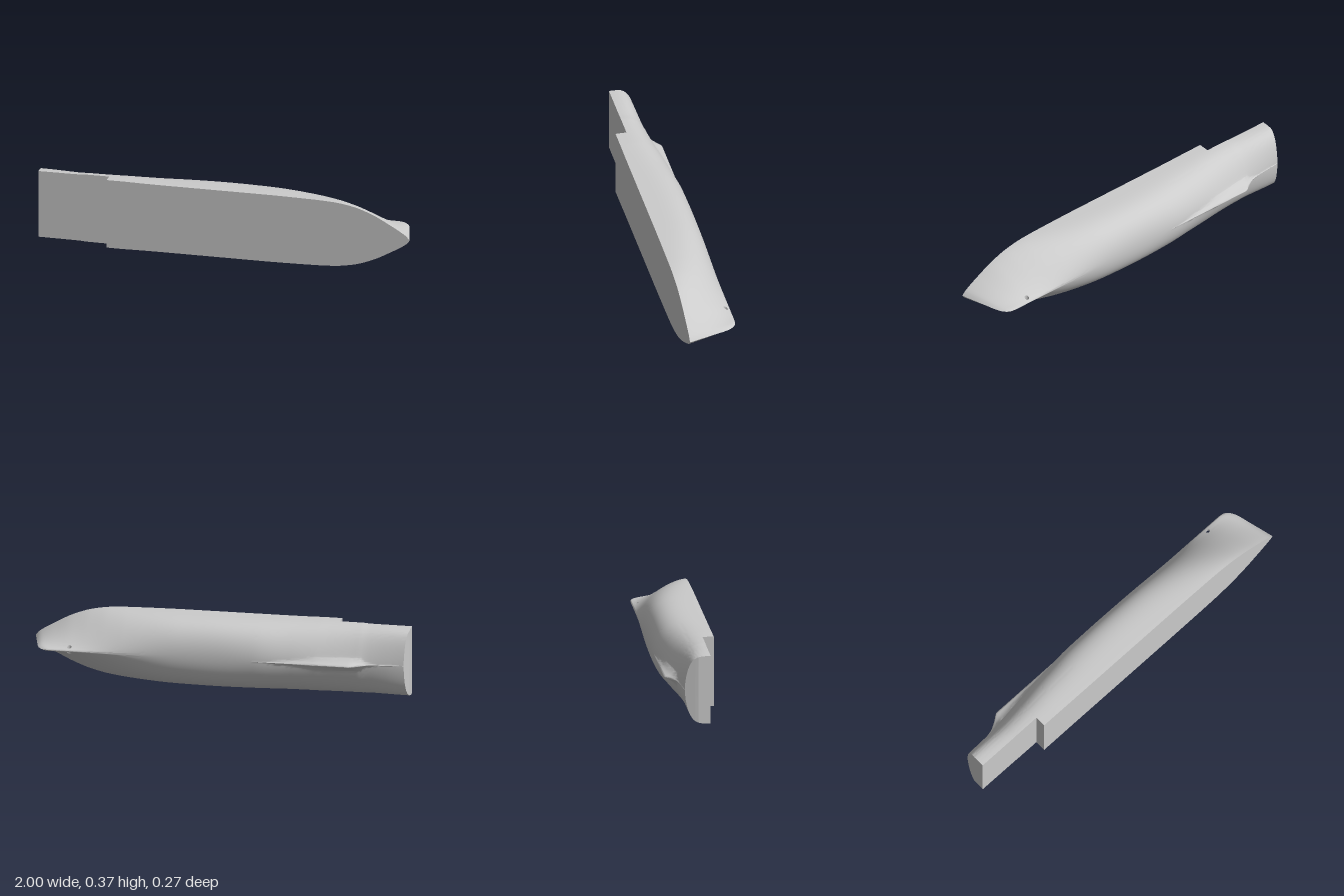
import * as THREE from 'three';
import { toCreasedNormals } from 'three/addons/utils/BufferGeometryUtils.js';

const DECK = 0.134, AFT_DECK = 0.076, STEP = -0.62, CENTRE = 0.184;
const BODY_ROWS = 30, SKEG_ROWS = 8, HALF = BODY_ROWS + SKEG_ROWS;

// Monotone cubic curve through [position, value] points
function curve(points) {
  const n = points.length;
  const d = (i) => (points[i + 1][1] - points[i][1]) / (points[i + 1][0] - points[i][0]);
  const slope = (i) => {
    if (i === 0) return d(0);
    if (i === n - 1) return d(n - 2);
    const a = d(i - 1), b = d(i);
    return a * b <= 0 ? 0 : (2 * a * b) / (a + b);
  };
  return (x) => {
    let i = 0;
    while (i < n - 2 && x > points[i + 1][0]) i++;
    const [x0, y0] = points[i], [x1, y1] = points[i + 1];
    const h = x1 - x0, t = THREE.MathUtils.clamp((x - x0) / h, 0, 1);
    return y0 * (1 + 2 * t) * (1 - t) ** 2 + slope(i) * h * t * (1 - t) ** 2
      + y1 * t * t * (3 - 2 * t) + slope(i + 1) * h * t * t * (t - 1);
  };
}

// Hull lines along the length
const beam = curve([[-1, 0.18], [-0.62, 0.182], [-0.2, 0.183], [0.2, 0.183], [0.5, 0.179],
  [0.6, 0.174], [0.7, 0.158], [0.8, 0.124], [0.9, 0.072], [0.96, 0.036], [0.985, 0.018], [1, 0]]);
const keel = curve([[-1, -0.058], [-0.97, -0.062], [-0.86, -0.07], [-0.8, -0.08],
  [-0.75, -0.105], [-0.7, -0.135], [1, -0.135]]);
const bodyLine = curve([[-1, -0.057], [-0.8, -0.072], [-0.6, -0.095], [-0.4, -0.12],
  [-0.2, -0.135], [1, -0.135]]);
const bilge = curve([[-1, 6.5], [-0.7, 4], [-0.4, 3.6], [0, 4.1], [0.2, 3.8], [0.77, 1.5], [1, 1.3]]);
const fullness = curve([[-1, 0.65], [-0.7, 0.8], [-0.4, 0.62], [0, 0.48], [0.2, 0.5], [0.77, 1], [1, 1.1]]);
// Raked stem, by height z
const stem = curve([[-0.135, 0.87], [-0.13, 0.9], [-0.115, 0.922], [-0.08, 0.943], [0, 0.965], [DECK, 1]]);
const bottom = (u) => Math.max(bodyLine(u), keel(u));

// Half-breadth of the hull at station u and height z
function halfBreadth(u, z) {
  const zb = bottom(u), drop = zb - keel(u);
  const s = Math.min(1, (DECK - z) / (DECK - zb));
  const t = drop > 1e-6 ? THREE.MathUtils.clamp((zb - z) / drop, 0, 1) : s < 1 ? 0 : 1;
  const body = beam(u) * (1 - s ** bilge(u)) ** fullness(u);
  // Rounded stem bar, and a skeg that flares into the body
  const bar = 0.009 * Math.sqrt(THREE.MathUtils.clamp((1 - u) / 0.03, 0, 1) * (1 - s ** 20));
  const skeg = Math.min(1, drop / 0.03) * (0.008 * Math.sqrt(1 - t ** 4) + 0.025 * (1 - t) ** 2);
  return Math.hypot(body, bar, skeg);
}

// Station u to x, with rake at both ends
function stationX(u, z) {
  if (u > 0.5) return 0.5 + (u - 0.5) * (stem(z) - 0.5) / 0.5;
  if (u < -0.9) return u + 0.018 * ((-0.9 - u) / 0.1) * THREE.MathUtils.clamp((0.01 - z) / 0.07, 0, 1);
  return u;
}

// Closed hull section rings lofted from x0 to x1, with a cap at the aft end
function hullSection(x0, x1, count, top, hole) {
  const rings = [];
  for (let i = 0; i <= count; i++) {
    const u = x0 + (x1 - x0) * i / count;
    const zb = bottom(u), zk = keel(u), ring = [];
    for (let j = 0; j <= HALF; j++) {
      const z = j <= BODY_ROWS
        ? top + (zb - top) * Math.sin(Math.PI / 2 * j / BODY_ROWS)
        : zb + (zk - zb) * Math.sin(Math.PI / 2 * (j - BODY_ROWS) / SKEG_ROWS);
      ring.push([stationX(u, z), j === HALF ? 0 : halfBreadth(u, z), z]);
    }
    rings.push(ring);
  }

  // Round off the 2 x 2 patch of cells nearest the hole
  const loop = [[-1, -1], [0, -1], [1, -1], [1, 0], [1, 1], [0, 1], [-1, 1], [-1, 0]];
  let hi = -9, hj = -9, best = Infinity;
  if (hole) {
    rings.forEach((ring, i) => ring.forEach((p, j) => {
      const d = Math.hypot(p[0] - hole.x, p[2] - hole.z);
      if (d < best && j < BODY_ROWS - 1) [best, hi, hj] = [d, i, j];
    }));
    const [cx, , cz] = rings[hi][hj];
    loop.forEach(([di, dj], k) => {
      const a = Math.PI * 0.75 - k * Math.PI / 4;
      const x = cx + hole.r * Math.cos(a), z = cz + hole.r * Math.sin(a);
      const u = 0.5 + (x - 0.5) * 0.5 / (stem(z) - 0.5);
      rings[hi + di][hj + dj] = [x, halfBreadth(u, z), z];
    });
  }

  const positions = [];
  const at = (i, j) => {
    const mirrored = j > HALF;
    const [x, y, z] = rings[i][mirrored ? 2 * HALF - j : j];
    return new THREE.Vector3(x, CENTRE + (mirrored ? -y : y), z);
  };
  const tri = (a, b, c) => {
    const area = b.clone().sub(a).cross(c.clone().sub(a)).length();
    if (area > 1e-10) for (const p of [a, b, c]) positions.push(p.x, p.y, p.z);
  };
  const quad = (a, b, c, d) => { tri(a, b, c); tri(a, c, d); };

  const size = 2 * HALF + 1;
  for (let i = 0; i < count; i++) {
    for (let j = 0; j < size; j++) {
      const row = j < HALF ? j : 2 * HALF - 1 - j;
      const open = (i === hi || i === hi - 1) && (row === hj || row === hj - 1);
      const k = (j + 1) % size;
      if (!open) quad(at(i, j), at(i + 1, j), at(i + 1, k), at(i, k));
    }
  }
  // Aft cap
  for (let j = 0; j < HALF; j++) {
    quad(at(0, j), at(0, j + 1), at(0, 2 * HALF - j - 1), at(0, 2 * HALF - j));
  }
  // Tunnel joining the holes of both sides
  if (hole) {
    loop.forEach(([di, dj], k) => {
      const [ei, ej] = loop[(k + 1) % loop.length];
      quad(at(hi + di, hj + dj), at(hi + ei, hj + ej),
        at(hi + ei, 2 * HALF - hj - ej), at(hi + di, 2 * HALF - hj - dj));
    });
  }

  const geometry = new THREE.BufferGeometry();
  geometry.setAttribute('position', new THREE.Float32BufferAttribute(positions, 3));
  return toCreasedNormals(geometry, 0.95);
}

export function createModel() {
  const group = new THREE.Group();
  group.name = 'shipHull';
  const material = new THREE.MeshStandardMaterial({ color: 0xcccccc });
  const add = (name, geometry) => {
    const mesh = new THREE.Mesh(geometry, material);
    mesh.name = name;
    group.add(mesh);
  };
  // Main hull with the bow and thruster tunnel, then the lower stern
  add('mainHull', hullSection(STEP, 1, 135, DECK, { x: 0.77, z: -0.108, r: 0.012 }));
  add('sternHull', hullSection(-1, STEP, 38, AFT_DECK));
  return group;
}
